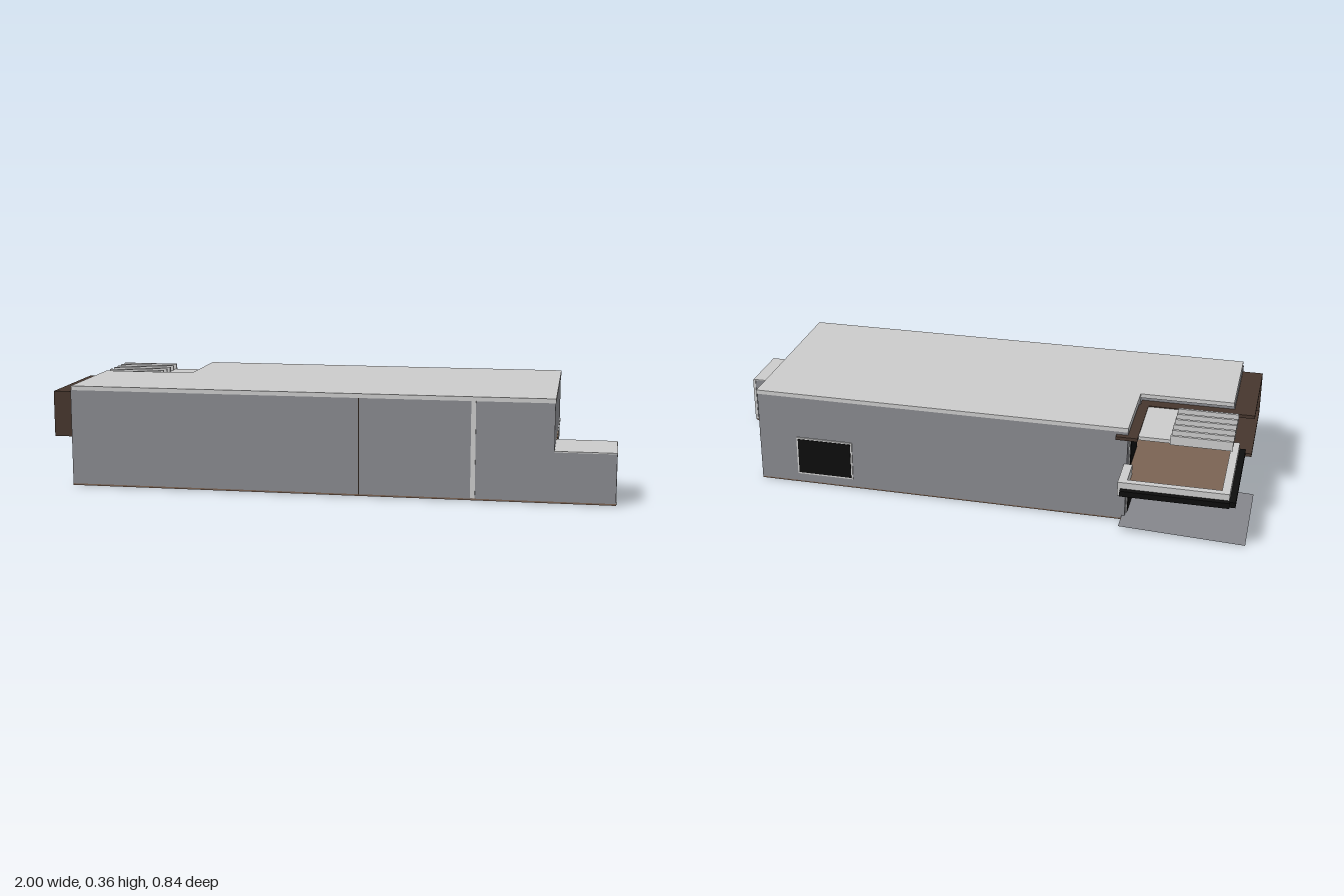
import * as THREE from 'three';

const mat = (name, color, side = THREE.FrontSide) => {
  const m = new THREE.MeshStandardMaterial({ color, side });
  m.name = name;
  return m;
};

export function createModel() {
  const house = new THREE.Group();
  house.name = 'house';

  const wall = mat('wall grey', 0x88898e);
  const light = mat('light grey', 0xcbcbcb);
  const wood = mat('dark wood', 0x46362d);
  const deck = mat('deck brown', 0x7a6353);
  const tan = mat('tan wood', 0xa18363);
  const black = mat('black', 0x0d0d0d);
  const paving = mat('paving grey', 0x85868c, THREE.DoubleSide);
  const shade = mat('deep brown', 0x2c231c);

  // box given by its two extreme corners
  const box = (name, m, x0, x1, y0, y1, z0, z1, parent = house) => {
    const mesh = new THREE.Mesh(new THREE.BoxGeometry(x1 - x0, y1 - y0, z1 - z0), m);
    mesh.position.set((x0 + x1) / 2, (y0 + y1) / 2, (z0 + z1) / 2);
    mesh.name = name;
    parent.add(mesh);
    return mesh;
  };

  // L-shaped plan extruded upwards; the notch sits at the back, on the -x side
  const plan = (name, m, y0, y1, x0, x1, z0, z1, nx, nz) => {
    const s = new THREE.Shape([
      [x0, -z1], [x1, -z1], [x1, -z0], [nx, -z0], [nx, -nz], [x0, -nz],
    ].map(([x, y]) => new THREE.Vector2(x, y)));
    const g = new THREE.ExtrudeGeometry(s, { depth: y1 - y0, bevelEnabled: false });
    g.rotateX(-Math.PI / 2);
    const mesh = new THREE.Mesh(g, m);
    mesh.position.y = y0;
    mesh.name = name;
    house.add(mesh);
  };

  // main volume, base and roof
  plan('floorSlab', deck, 0.002, 0.008, -0.908, 0.788, -0.258, 0.416, -0.57, 0.04);
  plan('mainWalls', wall, 0.008, 0.345, -0.908, 0.788, -0.26, 0.416, -0.57, 0.04);
  plan('roof', light, 0.345, 0.36, -0.905, 0.79, -0.262, 0.42, -0.57, 0.035);
  box('garageFloor', shade, -0.57, -0.3, 0, 0.003, -0.255, 0);
  box('utilityFloor', paving, 0.65, 0.788, 0, 0.003, -0.255, -0.05);

  // front seam and light strip
  box('wallSeam', shade, 0.12, 0.124, 0.008, 0.345, 0.414, 0.417);
  box('wallStrip', light, 0.507, 0.523, 0.01, 0.345, 0.413, 0.419);

  // low annex on the +x end
  const annex = new THREE.Group();
  annex.name = 'annex';
  house.add(annex);
  box('annexWalls', wall, 0.788, 0.996, 0.008, 0.178, 0.2, 0.416, annex);
  box('annexFloor', deck, 0.788, 0.996, 0.002, 0.008, 0.2, 0.416, annex);
  box('annexRoof', light, 0.788, 0.998, 0.178, 0.182, 0.198, 0.418, annex);
  box('annexCorner', light, 0.99, 1, 0.012, 0.178, 0.198, 0.25, annex);
  box('annexSkirting', light, 0.99, 0.999, 0.006, 0.012, 0.2, 0.416, annex);

  // side entrance and the intermediate floor edge
  box('entrancePanel', light, 0.786, 0.791, 0.01, 0.168, 0.097, 0.2);
  box('entranceFrame', light, 0.786, 0.796, 0.012, 0.142, 0.127, 0.2);
  box('entranceDoor', black, 0.79, 0.798, 0.017, 0.137, 0.137, 0.193);
  box('floorEdgeTan', tan, 0.785, 0.791, 0.168, 0.178, 0.02, 0.2);
  box('floorEdgeLight', light, 0.785, 0.791, 0.17, 0.177, -0.258, 0.02);
  box('baseEdge', tan, 0.785, 0.791, 0.003, 0.012, -0.25, 0.2);

  // windows: light frame plate with a black pane standing slightly proud of it.
  // axis is the facing direction, at the wall plane, u the horizontal extent
  const windowPlate = (name, axis, sign, at, u0, u1, y0, y1) => {
    const g = new THREE.Group();
    g.name = name;
    house.add(g);
    [[light, 0.006, 0.004, 'frame'], [black, 0, 0.006, 'pane']].forEach(([m, e, t, n]) => {
      const a = at - 0.002 * sign, b = at + t * sign;
      const lo = Math.min(a, b), hi = Math.max(a, b);
      if (axis === 'x') box(n, m, lo, hi, y0 - e, y1 + e, u0 - e, u1 + e, g);
      else box(n, m, u0 - e, u1 + e, y0 - e, y1 + e, lo, hi, g);
    });
  };
  windowPlate('backWindow', 'z', -1, -0.26, 0.44, 0.64, 0.045, 0.18);
  windowPlate('upperSideWindow', 'x', -1, -0.908, 0.1, 0.34, 0.2, 0.31);
  windowPlate('lowerSideWindow', 'x', -1, -0.908, 0.11, 0.35, 0.04, 0.15);
  windowPlate('balconyDoor', 'x', -1, -0.57, -0.21, -0.05, 0.19, 0.305);
  windowPlate('balconyWindow', 'z', -1, 0.04, -0.86, -0.64, 0.19, 0.305);
  windowPlate('garageDoor', 'x', -1, -0.57, -0.23, 0, 0.022, 0.15);
  windowPlate('porchDoor', 'z', -1, 0.04, -0.82, -0.68, 0.02, 0.15);

  // dark wood frame around the side windows, running on as an eave over the balcony
  const frame = new THREE.Group();
  frame.name = 'woodFrame';
  house.add(frame);
  box('frameTop', wood, -0.982, -0.905, 0.322, 0.334, 0.0, 0.385, frame);
  box('frameBottom', wood, -0.982, -0.905, 0.172, 0.184, 0.0, 0.385, frame);
  box('frameSide', wood, -0.982, -0.905, 0.172, 0.334, 0.375, 0.385, frame);
  box('eaveLong', wood, -0.905, -0.575, 0.322, 0.334, -0.005, 0.04, frame);
  box('eaveShort', wood, -0.605, -0.57, 0.322, 0.334, -0.28, 0.0, frame);
  box('eaveReturn', wood, -0.57, -0.53, 0.322, 0.334, -0.28, -0.26, frame);

  // balcony with parapet and black outer rail
  const balcony = new THREE.Group();
  balcony.name = 'balcony';
  house.add(balcony);
  box('balconyDeck', deck, -0.93, -0.57, 0.178, 0.186, -0.39, 0.04, balcony);
  box('balconySoffit', wood, -0.93, -0.57, 0.168, 0.178, -0.39, 0.04, balcony);
  box('parapetBack', light, -0.938, -0.56, 0.172, 0.223, -0.4, -0.375, balcony);
  box('parapetSide', light, -0.938, -0.91, 0.172, 0.223, -0.375, 0.0, balcony);
  box('parapetInner', light, -0.59, -0.56, 0.172, 0.223, -0.375, -0.26, balcony);
  box('railBack', black, -0.94, -0.57, 0.18, 0.2, -0.42, -0.4, balcony);
  box('railSide', black, -0.96, -0.938, 0.18, 0.2, -0.41, 0.0, balcony);

  // pergola: light canopy with six slats reaching outward
  const pergola = new THREE.Group();
  pergola.name = 'pergola';
  house.add(pergola);
  box('canopy', light, -0.72, -0.6, 0.318, 0.331, -0.255, 0.0, pergola);
  for (let i = 0; i < 6; i++) {
    const z = -0.257 + i * 0.0445;
    box('slat', light, -0.928, -0.715, 0.316, 0.35, z - 0.005, z + 0.005, pergola);
  }

  // porch post and sloping drive
  box('porchPost', light, -0.908, -0.885, 0.008, 0.17, -0.02, 0.04);
  const run = 0.44, rise = 0.018;
  const g = new THREE.PlaneGeometry(Math.hypot(run, rise), 0.38).rotateX(-Math.PI / 2);
  const drive = new THREE.Mesh(g, paving);
  drive.rotation.z = Math.atan2(rise, run);
  drive.position.set(-0.78, rise / 2 + 0.001, -0.15);
  drive.name = 'drive';
  house.add(drive);

  return house;
}
